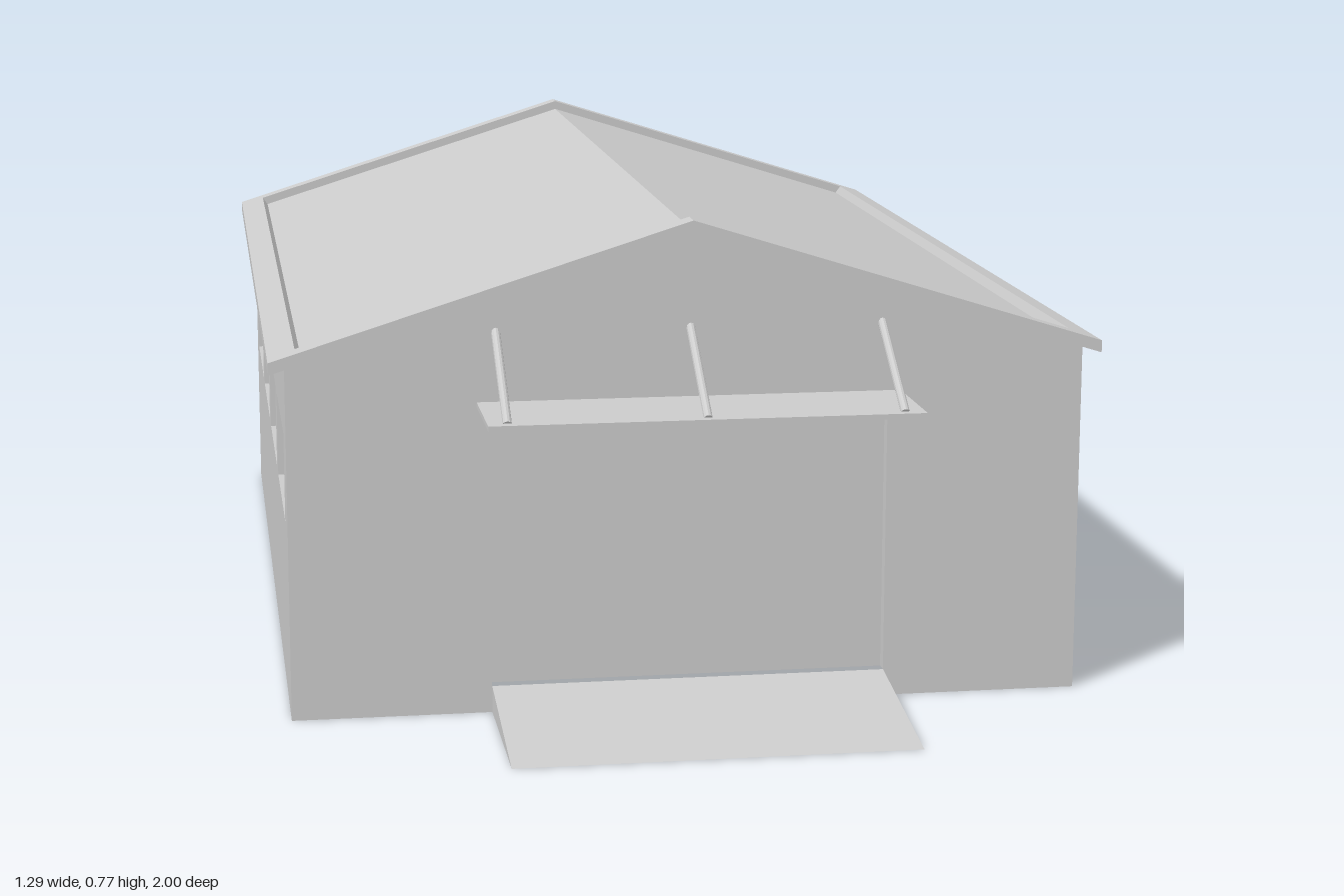
import * as THREE from 'three';

const material = new THREE.MeshStandardMaterial({ color: 0xcccccc, flatShading: true, side: THREE.DoubleSide });

const HALF_W = 0.62, FRONT = 0.725, BACK = -0.955;
const MID_Z = (FRONT + BACK) / 2, LENGTH = FRONT - BACK;
const SLOPE = 0.313, RIDGE = 0.748;
const roofY = (x) => RIDGE - SLOPE * Math.abs(x);

function addMesh(parent, name, geometry) {
  const mesh = new THREE.Mesh(geometry, material);
  mesh.name = name;
  parent.add(mesh);
  return mesh;
}

const polygon = (points) => new THREE.Shape(points.map(([x, y]) => new THREE.Vector2(x, y)));

// Solid with an xy outline, running from z0 to z1
function prism(points, z0, z1) {
  return new THREE.ExtrudeGeometry(polygon(points), { depth: z1 - z0, bevelEnabled: false }).translate(0, 0, z0);
}

// Box open to the front (and optionally below), set back behind z = 0
function recess(width, y0, y1, depth, openBottom) {
  const geo = new THREE.BoxGeometry(width, y1 - y0, depth);
  const index = Array.from(geo.index.array);
  index.splice(24, 6);
  if (openBottom) index.splice(18, 6);
  geo.setIndex(index);
  return geo.translate(0, (y0 + y1) / 2, -depth / 2);
}

// Side wall with four recessed windows, facing local +z
function sideWall(name) {
  const group = new THREE.Group();
  group.name = name;
  const h = LENGTH / 2, top = roofY(HALF_W), y0 = 0.29, y1 = 0.43, half = 0.161;
  const shape = polygon([[-h, 0], [h, 0], [h, top], [-h, top]]);
  for (let i = 0; i < 4; i++) {
    const c = (i - 1.5) * 0.383;
    shape.holes.push(polygon([[c - half, y0], [c - half, y1], [c + half, y1], [c + half, y0]]));
    addMesh(group, 'window', recess(half * 2, y0, y1, 0.04, false)).position.x = c;
  }
  addMesh(group, 'wallPanel', new THREE.ShapeGeometry(shape));
  return group;
}

export function createModel() {
  const model = new THREE.Group();
  model.name = 'warehouse';

  // Side walls
  for (const s of [1, -1]) {
    const wall = sideWall(s > 0 ? 'leftWall' : 'rightWall');
    wall.rotation.y = s * Math.PI / 2;
    wall.position.set(s * HALF_W, 0, MID_Z);
    model.add(wall);
  }

  // Gable walls, the front one with a doorway
  const eave = roofY(HALF_W), doorHalf = 0.31, doorTop = 0.465, rampTop = 0.042;
  const gable = [[HALF_W, 0], [HALF_W, eave], [0, RIDGE], [-HALF_W, eave], [-HALF_W, 0]];
  const doorway = [[-doorHalf, 0], [-doorHalf, doorTop], [doorHalf, doorTop], [doorHalf, 0]];
  addMesh(model, 'frontWall', new THREE.ShapeGeometry(polygon([...gable, ...doorway]))).position.z = FRONT;
  const back = addMesh(model, 'backWall', new THREE.ShapeGeometry(polygon(gable)));
  back.rotation.y = Math.PI;
  back.position.z = BACK;
  addMesh(model, 'door', recess(doorHalf * 2, rampTop, doorTop, 0.02, true)).position.z = FRONT;

  // Loading ramp
  const ramp = addMesh(model, 'ramp',
    prism([[FRONT, 0], [1, 0], [FRONT, rampTop]], -doorHalf, doorHalf));
  ramp.rotation.y = -Math.PI / 2;

  // Roof: sunken panel surrounded by a raised rim
  const roof = new THREE.Group();
  roof.name = 'roof';
  model.add(roof);
  const OUT = 0.645, RIM = 0.019, zF = 0.745, zB = -1, rimW = 0.04;
  const band = (w, t) => [[-w, roofY(w)], [0, RIDGE], [w, roofY(w)],
    [w, roofY(w) + t], [0, RIDGE + t], [-w, roofY(w) + t]];
  addMesh(roof, 'roofPanel', prism(band(0.595, 0.003), zB + rimW, zF - rimW));
  addMesh(roof, 'frontRim', prism(band(OUT, RIM), zF - rimW, zF));
  addMesh(roof, 'backRim', prism(band(OUT, RIM), zB, zB + rimW));
  for (const s of [1, -1]) {
    const outline = [[0.592, roofY(0.592)], [OUT, roofY(OUT)],
      [OUT, roofY(OUT) + RIM], [0.603, roofY(0.603) + RIM]].map(([x, y]) => [s * x, y]);
    addMesh(roof, 'eaveRim', prism(outline, zB + rimW, zF - rimW));
  }

  // Awning over the door, hung from three rods
  const awning = new THREE.Group();
  awning.name = 'awning';
  model.add(awning);
  addMesh(awning, 'awningBoard', new THREE.BoxGeometry(0.66, 0.008, 0.175)).position.set(0, 0.488, FRONT + 0.0875);
  const a = new THREE.Vector3(0, 0.605, 0.715), b = new THREE.Vector3(0, 0.49, 0.882);
  const dir = b.clone().sub(a);
  for (const x of [-0.3, 0, 0.3]) {
    const rod = addMesh(awning, 'awningRod', new THREE.CylinderGeometry(0.007, 0.007, dir.length(), 12));
    rod.quaternion.setFromUnitVectors(new THREE.Vector3(0, 1, 0), dir.clone().normalize());
    rod.position.copy(a).add(b).multiplyScalar(0.5).setX(x);
  }

  return model;
}
